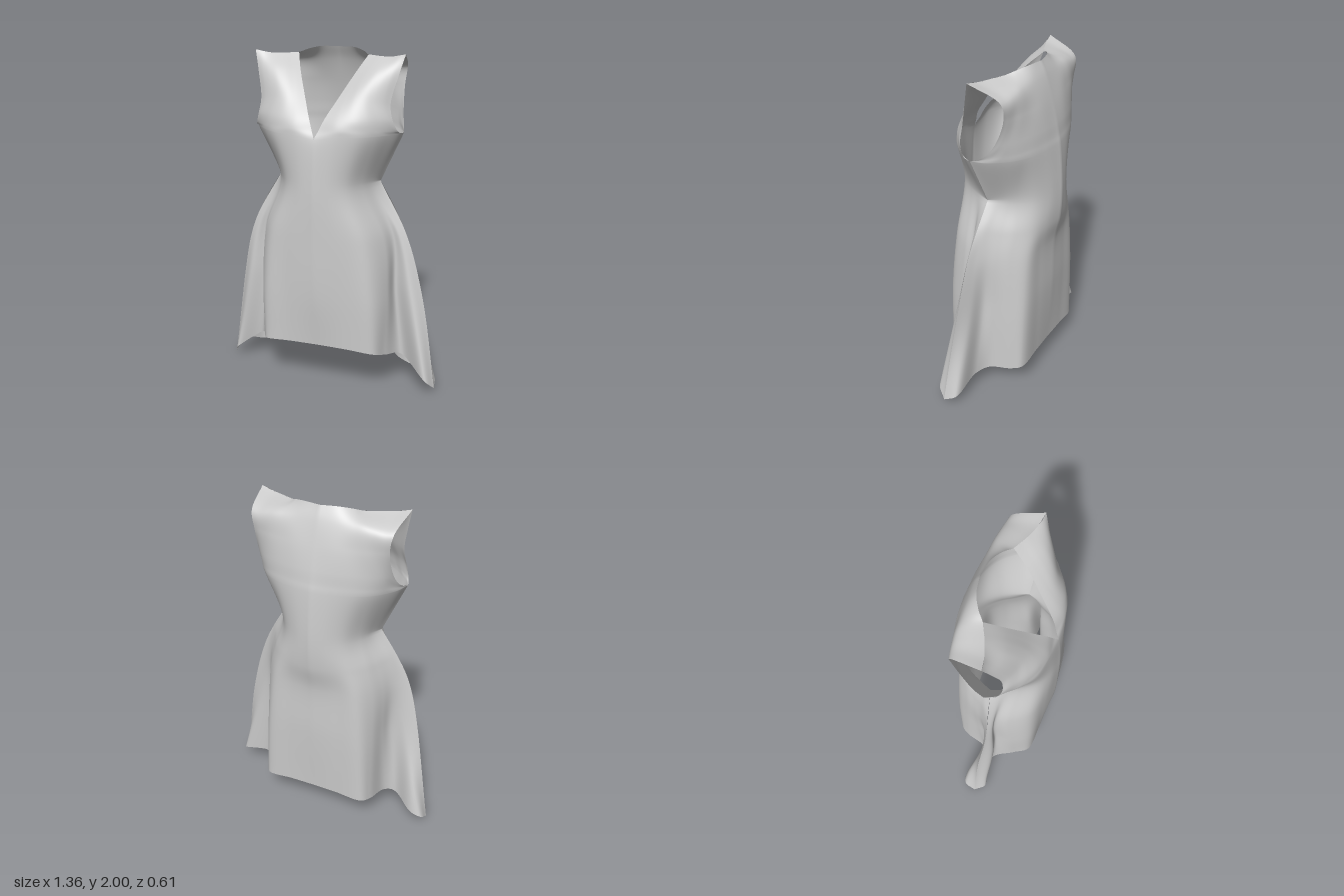
import * as THREE from 'three';
import { mergeVertices, mergeGeometries } from 'three/addons/utils/BufferGeometryUtils.js';

// Each row runs from centre (or neckline) to side seam: [x, y, z] per point.
// Skirt rows go from hem to waist, bodice rows from bust to shoulder.
const frontSkirt = [
  [[0, .29, .272], [.18, .285, .267], [.335, .27, .25], [.39, .235, .16], [.46, .2, .05], [.63, .1, .158], [.68, .03, .1]],
  [[0, .6, .3], [.18, .6, .277], [.325, .6, .25], [.395, .6, .145], [.42, .6, .05], [.52, .6, .09], [.58, .6, .05]],
  [[0, .95, .305], [.16, .95, .28], [.285, .95, .235], [.365, .95, .125], [.4, .95, .05], [.44, .95, .05], [.48, .95, .03]],
  [[0, 1.26, .3], [.1, 1.26, .28], [.18, 1.26, .235], [.24, 1.26, .155], [.275, 1.26, .09], [.295, 1.26, .045], [.31, 1.26, 0]],
];
const frontBodice = [
  [[0, 1.53, .275], [.13, 1.55, .268], [.24, 1.55, .238], [.32, 1.55, .18], [.38, 1.55, .115], [.42, 1.55, .065], [.445, 1.555, .02]],
  [[.02, 1.58, .252], [.13, 1.59, .262], [.225, 1.59, .24], [.3, 1.59, .198], [.36, 1.58, .145], [.405, 1.575, .1], [.43, 1.563, .07]],
  [[.045, 1.64, .225], [.13, 1.64, .24], [.21, 1.64, .232], [.28, 1.64, .202], [.34, 1.635, .16], [.385, 1.63, .125], [.405, 1.62, .105]],
  [[.1, 1.75, .14], [.15, 1.75, .16], [.2, 1.75, .172], [.25, 1.75, .167], [.3, 1.74, .15], [.35, 1.73, .125], [.385, 1.72, .1]],
  [[.165, 1.88, .035], [.2, 1.88, .055], [.245, 1.88, .078], [.29, 1.88, .09], [.335, 1.875, .09], [.375, 1.87, .08], [.415, 1.87, .06]],
  [[.21, 1.97, -.06], [.25, 1.968, -.04], [.29, 1.967, -.02], [.33, 1.967, -.005], [.37, 1.97, .01], [.405, 1.977, .02], [.445, 1.985, .025]],
];
const backSkirt = [
  [[0, .18, -.245], [.15, .18, -.247], [.32, .165, -.238], [.36, .155, -.18], [.4, .14, -.05], [.48, .125, 0], [.66, .075, .02], [.68, .03, .1]],
  [[0, .6, -.265], [.15, .6, -.257], [.295, .6, -.24], [.35, .6, -.17], [.38, .6, -.08], [.41, .6, -.02], [.5, .6, .01], [.58, .6, .05]],
  [[0, .92, -.268], [.14, .92, -.255], [.26, .92, -.235], [.33, .92, -.16], [.37, .92, -.09], [.4, .92, -.04], [.44, .93, 0], [.48, .95, .03]],
  [[0, 1.08, -.298], [.13, 1.08, -.272], [.22, 1.08, -.235], [.29, 1.08, -.165], [.33, 1.08, -.1], [.36, 1.09, -.05], [.385, 1.1, -.015], [.405, 1.105, .015]],
  [[0, 1.26, -.305], [.1, 1.26, -.278], [.18, 1.26, -.232], [.24, 1.26, -.155], [.265, 1.26, -.11], [.28, 1.26, -.075], [.295, 1.26, -.04], [.31, 1.26, 0]],
];
const backBodice = [
  [[0, 1.55, -.283], [.13, 1.55, -.262], [.24, 1.55, -.228], [.32, 1.55, -.18], [.38, 1.55, -.115], [.42, 1.55, -.05], [.445, 1.555, .02]],
  [[0, 1.6, -.273], [.125, 1.6, -.257], [.235, 1.6, -.228], [.315, 1.595, -.188], [.37, 1.59, -.138], [.405, 1.585, -.085], [.43, 1.578, -.04]],
  [[0, 1.67, -.26], [.12, 1.67, -.25], [.23, 1.67, -.225], [.31, 1.665, -.193], [.36, 1.66, -.16], [.39, 1.655, -.13], [.41, 1.645, -.1]],
  [[0, 1.8, -.228], [.12, 1.8, -.224], [.21, 1.8, -.21], [.28, 1.8, -.197], [.33, 1.8, -.182], [.37, 1.8, -.17], [.4, 1.8, -.158]],
  [[0, 1.93, -.187], [.12, 1.92, -.182], [.2, 1.92, -.175], [.26, 1.92, -.17], [.32, 1.91, -.165], [.37, 1.9, -.16], [.415, 1.9, -.152]],
  [[0, 2, -.155], [.1, 2, -.135], [.17, 1.985, -.095], [.21, 1.97, -.06], [.29, 1.967, -.02], [.37, 1.97, .01], [.445, 1.985, .025]],
];

const spline = (points) => new THREE.CatmullRomCurve3(points);
const sample = (points, steps) => spline(points).getPoints(steps * (points.length - 1));

// Half a panel: smooth at the centre, creased at waist and underarm by the side.
function halfPanel(skirt, bodice, side, flip) {
  const across = 56, steps = 12;
  const curves = [...skirt, ...bodice].map((row) => spline(row.map((p) => new THREE.Vector3(...p))));
  const waist = skirt.length, up = steps * (curves.length - 1);
  const positions = [], index = [];
  for (let i = 0; i <= across; i++) {
    const knots = curves.map((c) => c.getPoint(i / across));
    const creased = [
      ...sample(knots.slice(0, waist), steps),
      ...sample(knots.slice(waist - 1, waist + 1), steps).slice(1),
      ...sample(knots.slice(waist), steps).slice(1),
    ];
    sample(knots, steps).forEach((p, j) => {
      p.lerp(creased[j], (i / across) ** 3);
      if (i === 0) p.x = Math.max(0, p.x);
      // the right-hand flare swings backwards and hangs a little lower
      if (side < 0) {
        const k = THREE.MathUtils.smoothstep(p.x, .42, .62) * Math.max(0, 1 - p.y);
        p.z -= .12 * k;
        p.y -= .031 * k;
      }
      // the bodice leans slightly to the right
      positions.push(side * p.x - .013 * THREE.MathUtils.smoothstep(p.y, .2, 1.3), p.y, p.z);
      if (i < across && j < up) {
        const a = i * (up + 1) + j, b = a + up + 1;
        if (flip) index.push(a, a + 1, b, b, a + 1, b + 1);
        else index.push(a, b, a + 1, b, b + 1, a + 1);
      }
    });
  }
  const g = new THREE.BufferGeometry();
  g.setAttribute('position', new THREE.Float32BufferAttribute(positions, 3));
  g.setIndex(index);
  return g;
}

function panel(name, skirt, bodice, isFront, material) {
  const halves = [1, -1].map((s) => halfPanel(skirt, bodice, s, (s > 0) !== isFront));
  const geometry = mergeVertices(mergeGeometries(halves), 1e-4);
  geometry.computeVertexNormals();
  const mesh = new THREE.Mesh(geometry, material);
  mesh.name = name;
  return mesh;
}

export function createModel() {
  const group = new THREE.Group();
  group.name = 'dress';
  const cloth = new THREE.MeshStandardMaterial({ color: 0xcccccc, side: THREE.DoubleSide });
  // Front with the V neckline, back with the shallow neckline; armholes lie between them
  group.add(panel('frontPanel', frontSkirt, frontBodice, true, cloth));
  group.add(panel('backPanel', backSkirt, backBodice, false, cloth));
  return group;
}
